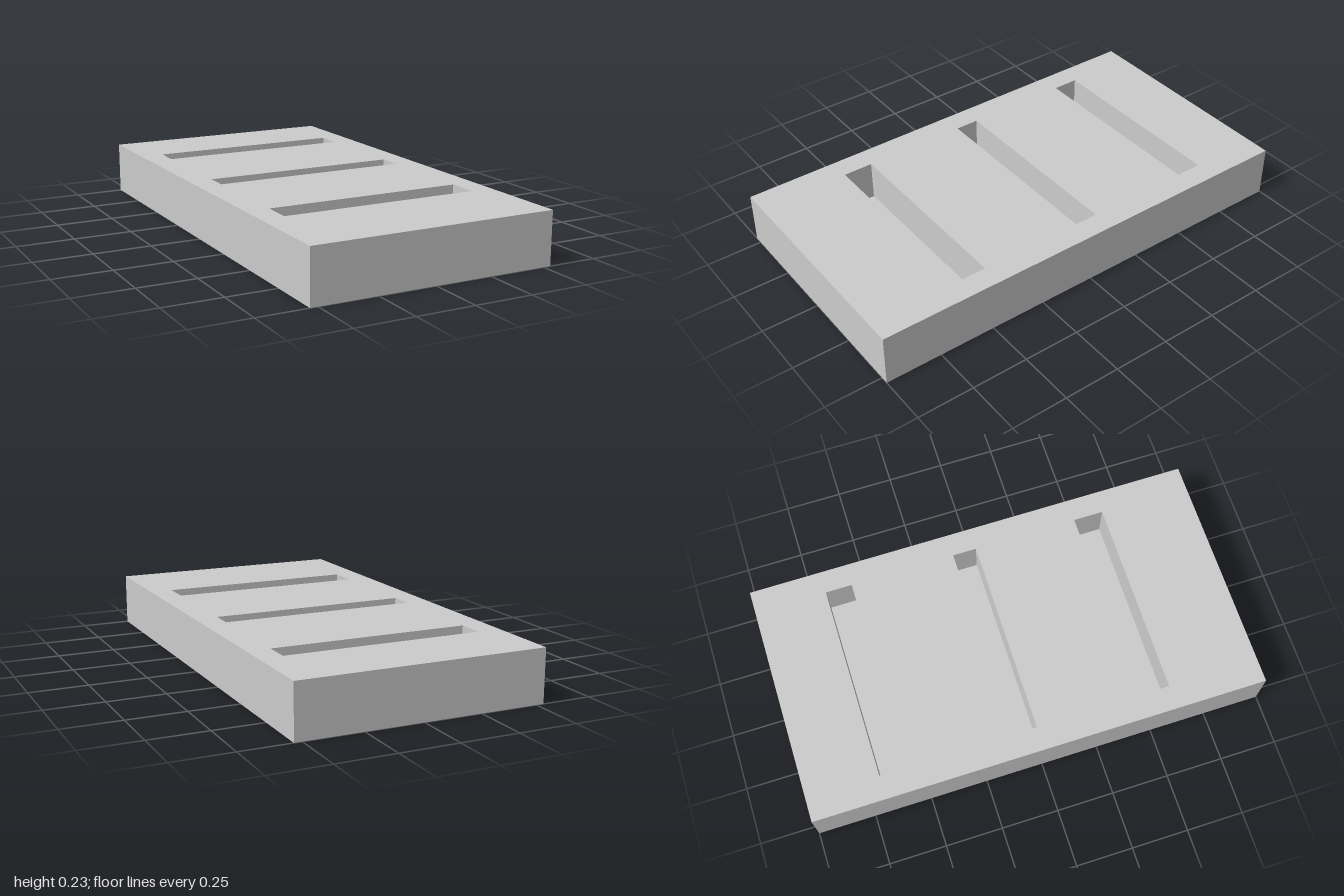
import * as THREE from 'three';

const WIDTH = 1.066, LENGTH = 2, HEIGHT = 0.228;
const SLOT_LEFT = -0.43, SLOT_RIGHT = 0.433, FLOOR = 0.05;
// Back and front edge (z) of each slot
const SLOTS = [[-0.683, -0.566], [-0.1, 0.005], [0.466, 0.598]];

// Rectangle in plan; shape y is -z
function outline(path, x0, x1, z0, z1) {
  path.moveTo(x0, -z1);
  path.lineTo(x1, -z1);
  path.lineTo(x1, -z0);
  path.lineTo(x0, -z0);
  path.closePath();
  return path;
}

export function createModel() {
  const group = new THREE.Group();
  group.name = 'slottedBlock';
  const material = new THREE.MeshStandardMaterial({ color: 0xcccccc });

  // Block with three straight-walled slots
  const shape = outline(new THREE.Shape(), -WIDTH / 2, WIDTH / 2, -LENGTH / 2, LENGTH / 2);
  for (const [z0, z1] of SLOTS) {
    shape.holes.push(outline(new THREE.Path(), SLOT_LEFT, SLOT_RIGHT, z0, z1));
  }
  const geometry = new THREE.ExtrudeGeometry(shape, { depth: HEIGHT, bevelEnabled: false });
  geometry.rotateX(-Math.PI / 2);
  const block = new THREE.Mesh(geometry, material);
  block.name = 'block';
  group.add(block);

  // Closed floor of each slot, flush with the underside
  SLOTS.forEach(([z0, z1], i) => {
    const floor = new THREE.Mesh(new THREE.BoxGeometry(SLOT_RIGHT - SLOT_LEFT, FLOOR, z1 - z0), material);
    floor.position.set((SLOT_LEFT + SLOT_RIGHT) / 2, FLOOR / 2, (z0 + z1) / 2);
    floor.name = `slotFloor${i + 1}`;
    group.add(floor);
  });

  return group;
}
